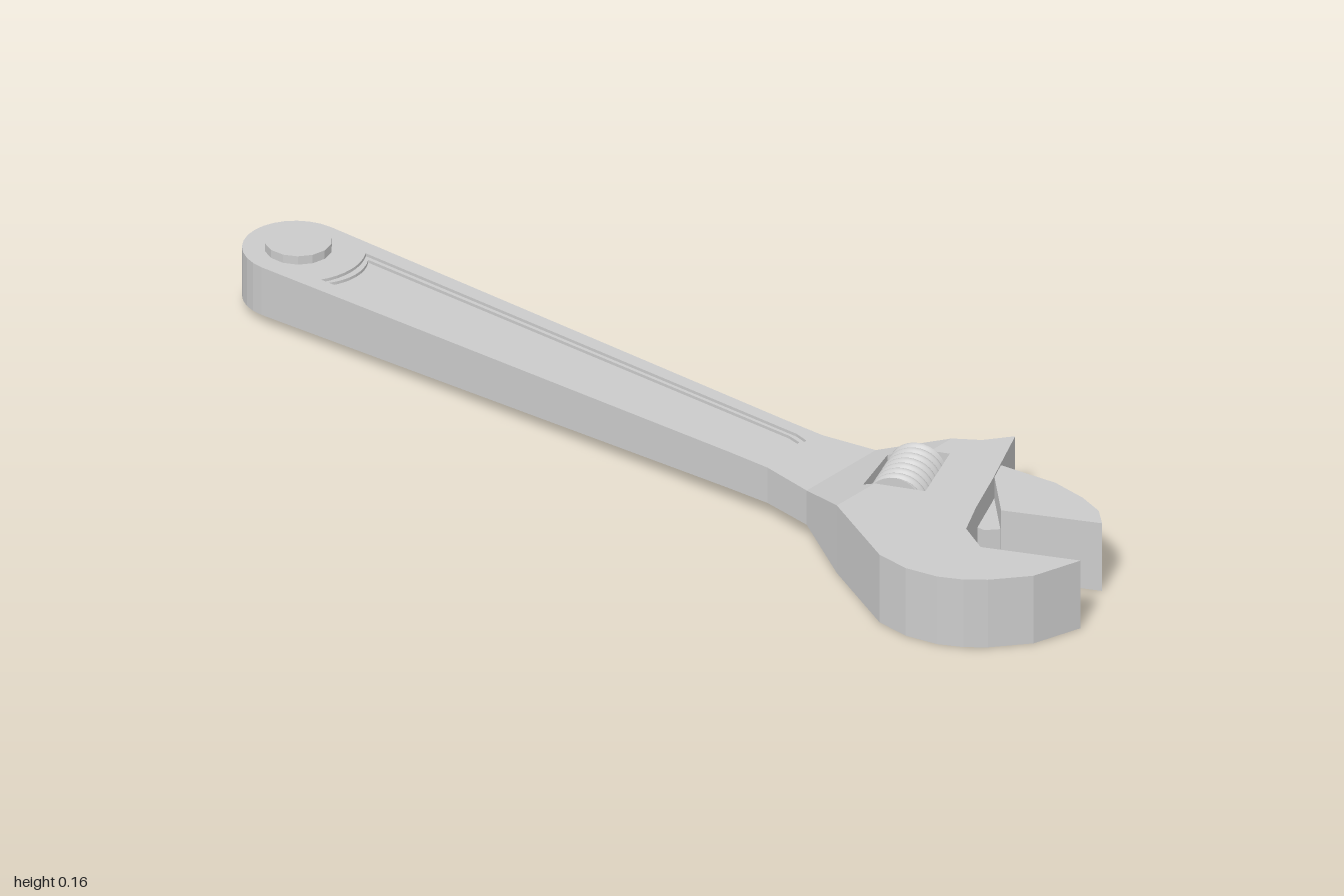
import * as THREE from 'three';

const MID = 0.071; // mid-height of the tool
const material = new THREE.MeshStandardMaterial({ color: 0xcccccc });

// Half thickness along the length: tapering handle, flaring neck, flat head
function halfThickness(z) {
  if (z <= 0.4) return THREE.MathUtils.mapLinear(z, -0.9, 0.4, 0.05, 0.036);
  return Math.min(0.071, THREE.MathUtils.mapLinear(z, 0.4, 0.52, 0.036, 0.071));
}

// Plate from an outline of [x, z] points; half(z) gives its half thickness
function plate(name, outline, half, hole, mid = MID) {
  const toVectors = pts => pts.map(([x, z]) => new THREE.Vector2(x, -z));
  const shape = new THREE.Shape(toVectors(outline));
  if (hole) shape.holes.push(new THREE.Path(toVectors(hole)));
  const geo = new THREE.ExtrudeGeometry(shape, { depth: 1, bevelEnabled: false });
  geo.rotateX(-Math.PI / 2);
  const pos = geo.attributes.position;
  for (let i = 0; i < pos.count; i++) {
    pos.setY(i, mid + (pos.getY(i) - 0.5) * 2 * half(pos.getZ(i)));
  }
  geo.computeVertexNormals();
  const mesh = new THREE.Mesh(geo, material);
  mesh.name = name;
  return mesh;
}

// Points [x, z] on an arc, angle measured from +x towards +z
function arc(cz, r, from, to, steps) {
  return Array.from({ length: steps + 1 }, (_, i) => {
    const a = from + (to - from) * i / steps;
    return [r * Math.cos(a), cz + r * Math.sin(a)];
  });
}

function makeHandle() {
  const group = new THREE.Group();
  group.name = 'handle';
  const outline = [
    ...arc(-0.9, 0.1, 0, -Math.PI, 14),
    [-0.08, 0.2], [-0.08, 0.29], [-0.1, 0.4], [0.1, 0.4], [0.08, 0.29], [0.08, 0.2],
  ];
  // Recess follows the round boss at one end and is squared off at the other
  const recess = [
    ...arc(-0.9, 0.13, Math.PI / 3, Math.PI * 2 / 3, 8),
    [-0.053, 0.25], [-0.045, 0.28], [0.045, 0.28], [0.053, 0.25],
  ];
  group.add(plate('handleFrame', outline, halfThickness, recess));
  group.add(plate('handlePanel', recess, z => halfThickness(z) - 0.012));
  // Inner rim around the sunken panel
  const inner = recess.map(([x, z]) => [x * 0.88, z < -0.5 ? z + 0.012 : z - 0.012]);
  group.add(plate('panelRim', recess, z => halfThickness(z) - 0.006, inner));

  const boss = new THREE.Mesh(
    new THREE.CylinderGeometry(0.063, 0.063, 0.128, 14).toNonIndexed(), material);
  boss.geometry.computeVertexNormals();
  boss.position.set(0, 0.074, -0.895);
  boss.name = 'endBoss';
  group.add(boss);
  return group;
}

function makeHead() {
  const group = new THREE.Group();
  group.name = 'head';
  // Neck and jaw meet across the middle of the slanted screw slot
  group.add(plate('neck', [
    [-0.1, 0.4], [-0.158, 0.52], [-0.0487, 0.52], [-0.057, 0.4995],
    [0.082, 0.443], [0.113, 0.52], [0.174, 0.52], [0.1, 0.4],
  ], halfThickness));
  group.add(plate('fixedJaw', [
    [-0.158, 0.52], [-0.195, 0.59], [-0.253, 0.7], [-0.262, 0.77], [-0.25, 0.835],
    [-0.228, 0.88], [-0.2, 0.915], [-0.135, 0.97], [-0.035, 1.0], [-0.112, 0.825],
    [-0.075, 0.76], [0, 0.722], [0.1, 0.678], [0.255, 0.605], [0.205, 0.567],
    [0.174, 0.52], [0.113, 0.52], [0.127, 0.5545], [-0.012, 0.611], [-0.0487, 0.52],
  ], () => 0.071));
  return group;
}

function makeMovingJaw() {
  const group = new THREE.Group();
  group.name = 'movingJaw';
  group.add(plate('jaw', [
    [0.02, 0.765], [0.1, 0.94], [0.133, 0.905], [0.153, 0.85], [0.165, 0.775],
    [0.153, 0.655], [0.11, 0.675],
  ], () => 0.071));
  group.add(plate('jawRack', [
    [0.008, 0.71], [0.008, 0.735], [0.04, 0.765], [0.13, 0.72], [0.12, 0.66],
  ], () => 0.023, null, 0.072));
  return group;
}

// Adjusting screw with helical ridges
function makeScrew() {
  const group = new THREE.Group();
  group.name = 'adjustingScrew';
  const length = 0.142;
  const geo = new THREE.CylinderGeometry(0.05, 0.05, length, 32, 70);
  const pos = geo.attributes.position;
  for (let i = 0; i < pos.count; i++) {
    const x = pos.getX(i), z = pos.getZ(i);
    if (Math.hypot(x, z) < 0.01) continue;
    const a = Math.atan2(z, x);
    const r = 0.049 + 0.008 * Math.abs(Math.cos(Math.PI * 7 * pos.getY(i) / length + a / 2));
    pos.setX(i, r * Math.cos(a));
    pos.setZ(i, r * Math.sin(a));
  }
  geo.computeVertexNormals();
  const worm = new THREE.Mesh(geo, material);
  worm.name = 'screwThread';
  const pin = new THREE.Mesh(new THREE.CylinderGeometry(0.015, 0.015, 0.16, 12), material);
  pin.name = 'screwPin';
  pin.position.x = -0.02;
  group.add(worm, pin);
  group.rotation.set(0, 0.384, -Math.PI / 2, 'YXZ');
  group.position.set(0.035, 0.1, 0.527);
  return group;
}

export function createModel() {
  const model = new THREE.Group();
  model.name = 'adjustableWrench';
  model.add(makeHandle(), makeHead(), makeMovingJaw(), makeScrew());
  return model;
}
